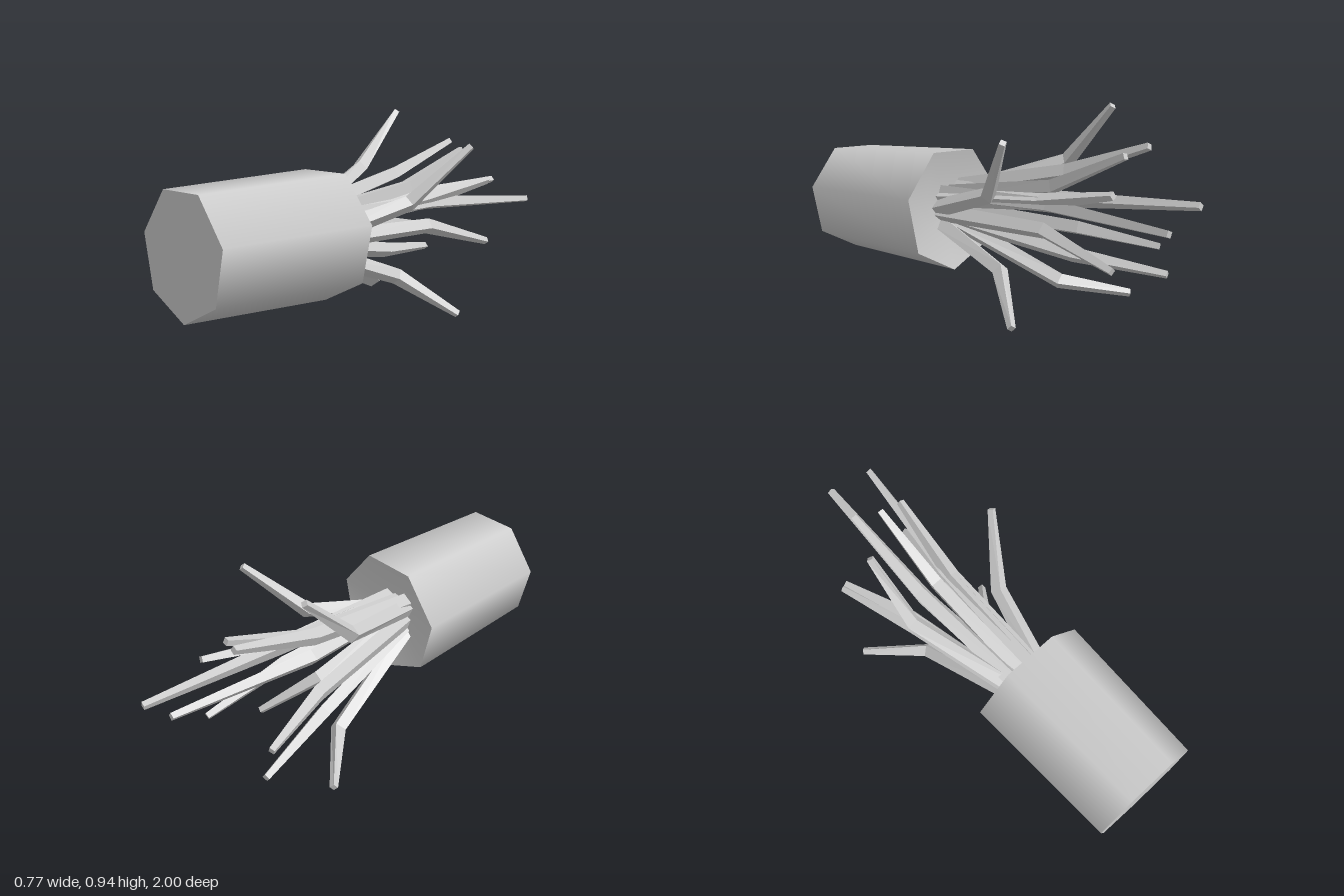
import * as THREE from 'three';

const SIDES = 7;
const AXIS = new THREE.Vector3(0.054, 0.441, 0);

// Tapered four-sided leaf swept through root, knee and tip
function leafGeometry(points, widths) {
  const pts = points.map(p => new THREE.Vector3(...p));
  const out = pts[2].clone().sub(AXIS).setZ(0).normalize();
  const pos = [], index = [];
  pts.forEach((p, i) => {
    const dir = pts[Math.min(i + 1, 2)].clone().sub(pts[Math.max(i - 1, 0)]).normalize();
    const side = new THREE.Vector3().crossVectors(dir, out).normalize();
    const up = new THREE.Vector3().crossVectors(side, dir);
    for (const [a, b] of [[-1, -1], [1, -1], [1, 1], [-1, 1]]) {
      const v = p.clone().addScaledVector(side, a * widths[i] / 2).addScaledVector(up, b * widths[i] / 2);
      pos.push(v.x, v.y, v.z);
    }
  });
  for (let r = 0; r < 2; r++) {
    for (let k = 0; k < 4; k++) {
      const a = r * 4 + k, b = r * 4 + (k + 1) % 4;
      index.push(a, b, b + 4, a, b + 4, a + 4);
    }
  }
  index.push(0, 2, 1, 0, 3, 2, 8, 9, 10, 8, 10, 11);
  const g = new THREE.BufferGeometry();
  g.setAttribute('position', new THREE.Float32BufferAttribute(pos, 3));
  g.setIndex(index);
  g.computeVertexNormals();
  return g;
}

export function createModel() {
  const model = new THREE.Group();
  const smooth = new THREE.MeshStandardMaterial({ color: 0xcccccc, side: THREE.DoubleSide });
  const flat = new THREE.MeshStandardMaterial({ color: 0xcccccc, flatShading: true, side: THREE.DoubleSide });

  // Pot lying on its side, base to the front, opening to the back
  const pot = new THREE.Group();
  pot.name = 'pot';
  const addPot = (name, geometry) => {
    const mesh = new THREE.Mesh(geometry, smooth);
    mesh.name = name;
    pot.add(mesh);
    return mesh;
  };
  addPot('potWall', new THREE.CylinderGeometry(0.298, 0.273, 0.735, SIDES, 1, true, Math.PI));
  const base = addPot('potBase', new THREE.CircleGeometry(0.273, SIDES, -Math.PI / 2));
  base.rotation.x = Math.PI / 2;
  base.position.y = -0.3675;
  // Shallow hollow inside the rim
  const hollow = [[0.001, 0.32], [0.15, 0.328], [0.298, 0.3675]].map(p => new THREE.Vector2(...p));
  addPot('soilHollow', new THREE.LatheGeometry(hollow, SIDES, Math.PI));
  pot.rotation.x = -Math.PI / 2;
  pot.position.set(0.054, 0.441, 0.6325);
  model.add(pot);

  // Leaves: root, knee, tip
  const leaves = [
    [[-0.03, 0.5, 0.32], [-0.21, 0.675, -0.2], [-0.21, 0.935, -0.45]],
    [[-0.03, 0.53, 0.32], [-0.085, 0.645, -0.3], [-0.095, 0.78, -0.72]],
    [[0.02, 0.51, 0.32], [0.01, 0.59, -0.3], [0.017, 0.745, -0.68]],
    [[0.11, 0.44, 0.32], [0.21, 0.55, -0.1], [0.372, 0.802, -0.33]],
    [[0.09, 0.49, 0.32], [0.1, 0.53, -0.3], [0.155, 0.6, -0.72]],
    [[0.08, 0.51, 0.32], [0.1, 0.52, -0.35], [0.185, 0.485, -1]],
    [[-0.01, 0.52, 0.32], [-0.06, 0.525, -0.3], [-0.04, 0.565, -1]],
    [[-0.02, 0.43, 0.32], [-0.14, 0.39, -0.33], [-0.25, 0.335, -0.68]],
    [[0.1, 0.42, 0.32], [0.11, 0.41, -0.33], [0.155, 0.295, -0.72]],
    [[-0.01, 0.38, 0.32], [-0.135, 0.265, -0.3], [-0.255, 0.215, -0.72]],
    [[-0.02, 0.36, 0.32], [-0.14, 0.13, -0.22], [-0.37, 0.07, -0.45]],
    [[0.08, 0.36, 0.32], [0.135, 0.205, -0.1], [0.312, 0.02, -0.325]],
  ];
  const foliage = new THREE.Group();
  foliage.name = 'leaves';
  leaves.forEach((points, i) => {
    const mesh = new THREE.Mesh(leafGeometry(points, [0.063, 0.053, 0.026]), flat);
    mesh.name = 'leaf' + (i + 1);
    foliage.add(mesh);
  });
  model.add(foliage);
  return model;
}
